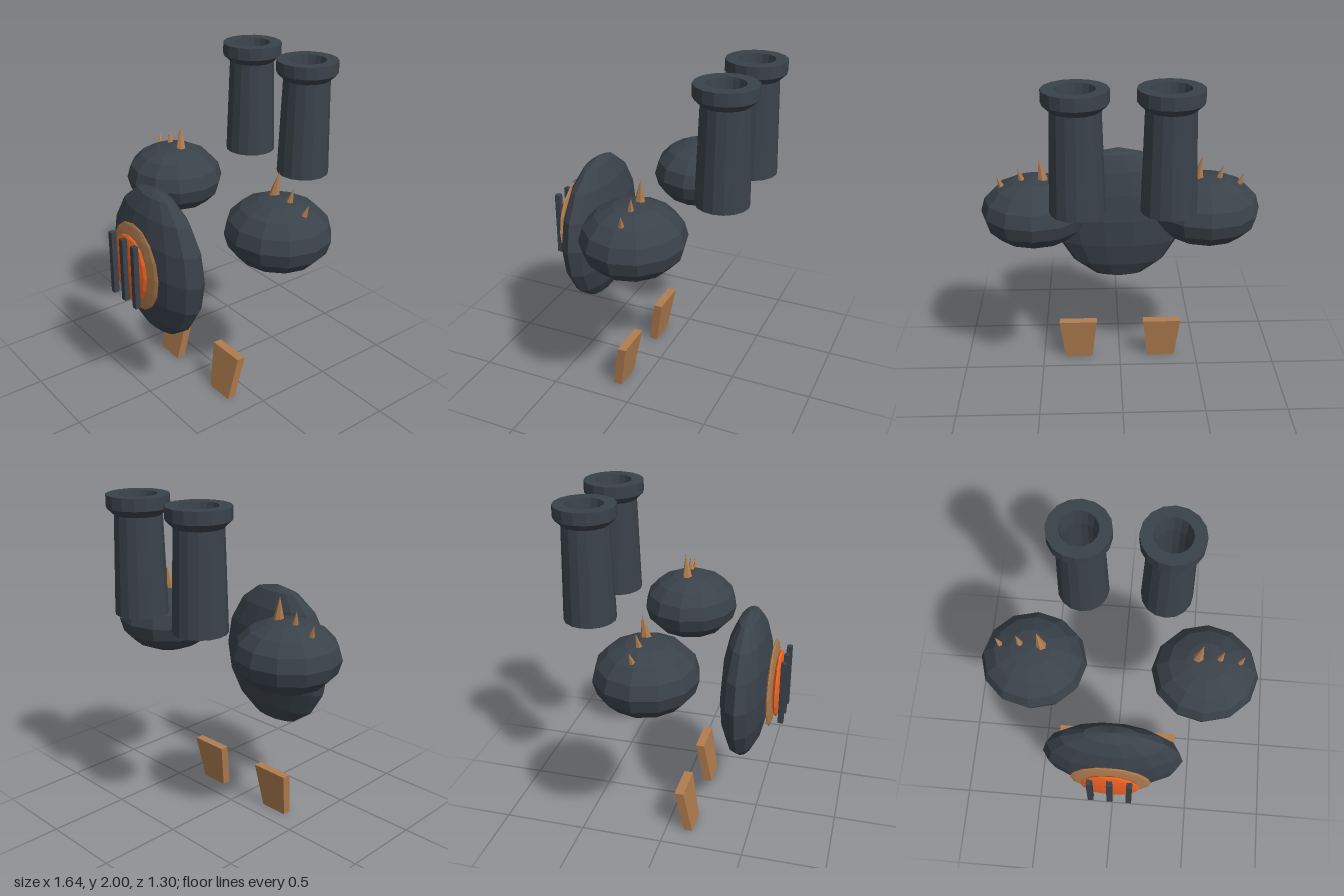
import * as THREE from 'three';

const paint = (color) => new THREE.MeshStandardMaterial({ color, flatShading: true });

export function createModel() {
  const model = new THREE.Group();
  const iron = paint(0x3a424a), wood = paint(0xb07d4f), fire = paint(0xf06424);
  iron.side = THREE.DoubleSide;

  function add(name, geometry, material, x = 0, y = 0, z = 0) {
    const mesh = new THREE.Mesh(geometry, material);
    mesh.name = name;
    mesh.position.set(x, y, z);
    model.add(mesh);
    return mesh;
  }
  const ellipsoid = (rx, ry, rz, sides) =>
    new THREE.SphereGeometry(1, sides, 8).scale(rx, ry, rz);

  // Belly with its furnace door
  add('belly', ellipsoid(0.42, 0.46, 0.144, 14), iron, 0, 0.9, 0.41);
  add('furnaceFrame', ellipsoid(0.24, 0.27, 0.021, 14), wood, 0, 0.915, 0.564);
  add('furnaceFire', ellipsoid(0.175, 0.208, 0.026, 14), fire, 0, 0.915, 0.598);
  for (const x of [-0.115, 0, 0.115])
    add('furnaceBar', new THREE.BoxGeometry(0.034, 0.39, 0.032), iron, x, 0.915, 0.636);

  // Chimney profile: outer wall, flared rim, then the bore
  const chimneyProfile = [
    [0.153, 1.325], [0.135, 1.89], [0.177, 1.93], [0.177, 2],
    [0.107, 2], [0.092, 1.9], [0.092, 1.4], [0.153, 1.325],
  ].map(([r, y]) => new THREE.Vector2(r, y));

  // Spikes: base x, y, tip x, y, base radius
  const spikes = [
    [0.445, 1.31, 0.468, 1.487, 0.04],
    [0.56, 1.29, 0.59, 1.43, 0.033],
    [0.67, 1.25, 0.713, 1.378, 0.033],
  ];

  for (const side of [-1, 1]) {
    add('chimney', new THREE.LatheGeometry(chimneyProfile, 16), iron, side * 0.245, 0, -0.475);
    add('shoulder', ellipsoid(0.314, 0.21, 0.298, 12), iron, side * 0.504, 1.15, -0.064);

    // Shoulder spikes lean outwards
    for (const [bx, by, tx, ty, r] of spikes) {
      const base = new THREE.Vector3(side * bx, by, -0.075);
      const tip = new THREE.Vector3(side * tx, ty, -0.093);
      const axis = tip.clone().sub(base);
      const cone = new THREE.ConeGeometry(r, axis.length(), 6);
      const spike = add('shoulderSpike', cone, wood);
      spike.position.copy(base).add(tip).multiplyScalar(0.5);
      spike.quaternion.setFromUnitVectors(new THREE.Vector3(0, 1, 0), axis.normalize());
    }

    // Foot: a slab narrowing downwards and slanting forwards
    const foot = new THREE.BoxGeometry(0.24, 0.288, 0.054);
    const p = foot.attributes.position;
    for (let i = 0; i < p.count; i++) {
      const low = p.getY(i) < 0;
      p.setX(i, p.getX(i) * (low ? 0.74 : 1));
      p.setZ(i, p.getZ(i) + (low ? 0.136 : 0.087));
    }
    foot.computeVertexNormals();
    add('foot', foot, wood, side * 0.27, 0.144, 0);
  }
  return model;
}
